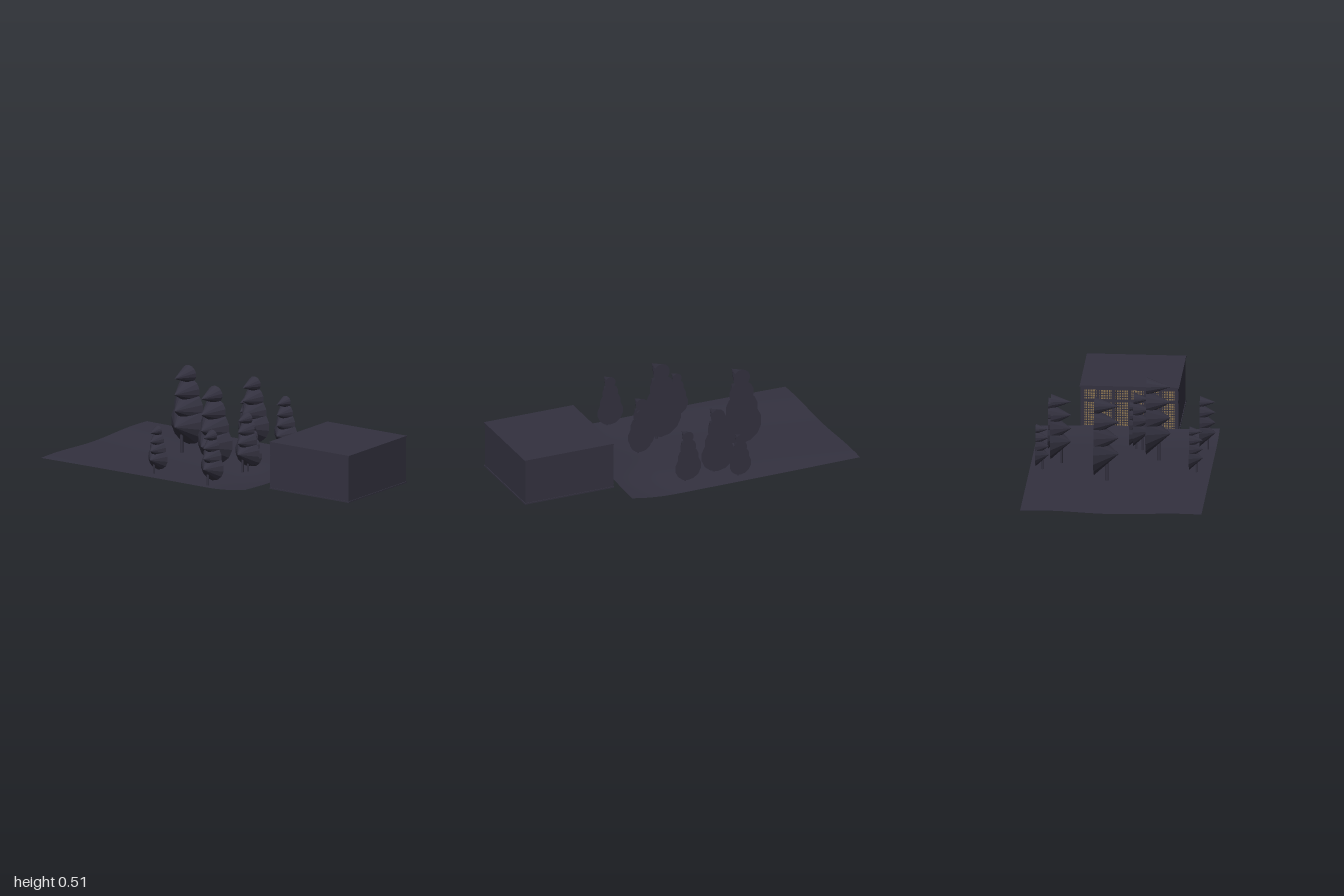
import * as THREE from 'three';

export function createModel() {
  const model = new THREE.Group();
  const mat = (name, color, extra = {}) => {
    const m = new THREE.MeshStandardMaterial({ color, ...extra });
    m.name = name;
    return m;
  };
  const slate = mat('slate', 0x33313f, { flatShading: true });
  const ground = mat('ground slate', 0x33313f, { side: THREE.DoubleSide });
  const tan = mat('warm tan', 0x8a7350);

  const add = (parent, name, geometry, material, x = 0, y = 0, z = 0) => {
    const mesh = new THREE.Mesh(geometry, material);
    mesh.name = name;
    mesh.position.set(x, y, z);
    parent.add(mesh);
    return mesh;
  };
  const box = (parent, name, w, h, d, material, x, y, z) =>
    add(parent, name, new THREE.BoxGeometry(w, h, d), material, x, y, z);

  // Gently rolling ground sheet, curling up towards the building
  const height = (x, z) => {
    const t = Math.max(0, (x - 0.15) / 0.28);
    return 0.012 + 0.006 * Math.sin(1.5 * x - 8 * z) + 0.026 * t * t;
  };
  const sheet = new THREE.PlaneGeometry(1.43, 1.04, 48, 36);
  sheet.rotateX(-Math.PI / 2);
  sheet.translate(-0.285, 0, 0);
  const p = sheet.attributes.position;
  for (let i = 0; i < p.count; i++) p.setY(i, height(p.getX(i), p.getZ(i)));
  sheet.computeVertexNormals();
  add(model, 'ground', sheet, ground);

  // Building: solid block with thin base and roof slabs
  const building = new THREE.Group();
  building.name = 'building';
  model.add(building);
  const cx = 0.718;
  box(building, 'walls', 0.546, 0.262, 0.562, slate, cx + 0.002, 0.139, 0);
  box(building, 'baseSlab', 0.56, 0.008, 0.57, slate, cx, 0.004, 0);
  box(building, 'roofSlab', 0.56, 0.008, 0.57, slate, cx, 0.274, 0);

  // Glazed side facing the trees: panes, posts, rails and a fine lattice
  const fx = 0.442;
  box(building, 'panes', 0.004, 0.23, 0.53, tan, fx + 0.003, 0.137, 0);
  for (let i = 0; i <= 6; i++) {
    box(building, 'post', 0.007, 0.262, 0.018, slate, fx, 0.139, -0.27 + i * 0.09);
  }
  for (const y of [0.015, 0.19, 0.262]) {
    box(building, 'rail', 0.007, 0.016, 0.56, slate, fx, y, 0);
  }
  for (let i = 1; i < 36; i++) {
    box(building, 'latticeUpright', 0.003, 0.23, 0.005, slate, fx, 0.137, -0.27 + i * 0.015);
  }
  for (let i = 1; i < 16; i++) {
    box(building, 'latticeBar', 0.003, 0.004, 0.53, slate, fx, 0.022 + i * 0.0145, 0);
  }

  // Trees: a trunk and four stacked cones that point forwards
  const cone = new THREE.ConeGeometry(1, 1, 14);
  cone.rotateX(Math.PI / 2);
  const trunk = new THREE.CylinderGeometry(0.08, 0.08, 1.1, 8);
  const tiers = [1, 0.81, 0.61, 0.42];
  const trees = [ // x, z, size
    [-0.43, -0.065, 0.126], [-0.05, 0.205, 0.124], [-0.16, -0.346, 0.105],
    [-0.265, -0.446, 0.068], [0.04, -0.388, 0.082], [0.115, 0.097, 0.086],
    [0.13, 0.065, 0.071], [0.14, 0.473, 0.081], [-0.265, 0.436, 0.07],
  ];
  for (const [x, z, size] of trees) {
    const tree = new THREE.Group();
    tree.name = 'tree';
    tree.position.set(x, 0.014, z);
    tree.scale.setScalar(size);
    add(tree, 'trunk', trunk, slate, 0, 0.5, 0);
    tiers.forEach((r, i) => {
      add(tree, 'foliageTier', cone, slate, 0, 1.26 + 0.76 * i, 0).scale.set(r, r, 1.11);
    });
    model.add(tree);
  }
  return model;
}
